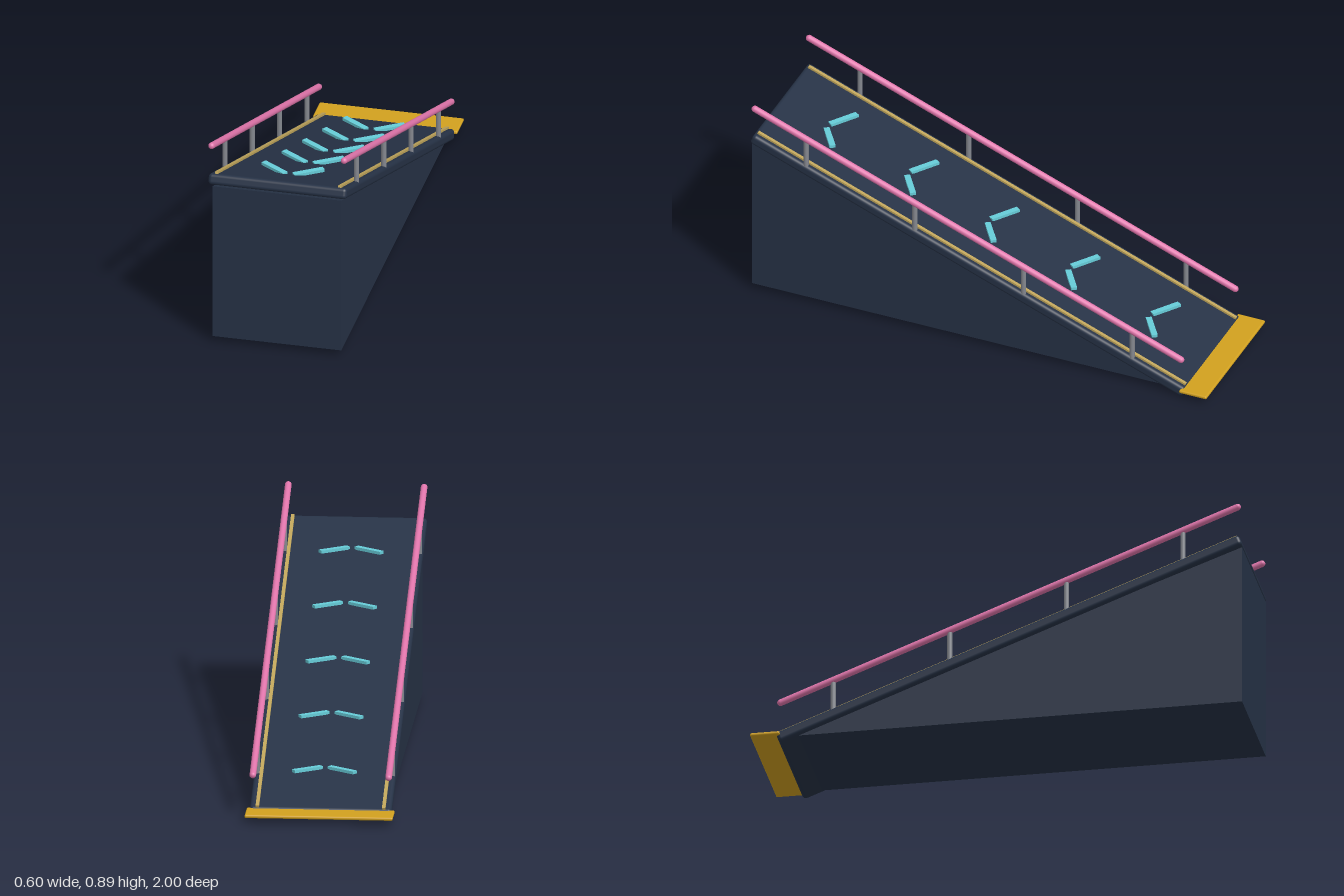
import * as THREE from 'three';
import { RoundedBoxGeometry } from 'three/addons/geometries/RoundedBoxGeometry.js';

const material = (name, color) => {
  const m = new THREE.MeshStandardMaterial({ color });
  m.name = name;
  return m;
};

export function createModel() {
  const model = new THREE.Group();
  model.name = 'ramp';
  const navy = material('navy', 0x263246);
  const pink = material('pink', 0xdf74aa);
  const grey = material('grey', 0x85888f);
  const teal = material('teal', 0x66ccd8);
  const yellow = material('yellow', 0xd2a11f);
  const gold = material('pale gold', 0xbfa45a);

  const add = (name, geometry, mat, x, y, z, parent = model) => {
    const mesh = new THREE.Mesh(geometry, mat);
    mesh.name = name;
    mesh.position.set(x, y, z);
    parent.add(mesh);
    return mesh;
  };

  const slope = 0.381, angle = Math.atan(slope);
  const midY = 0.377, midZ = 0.052;
  const deckY = z => midY + 0.0245 + slope * (z - midZ); // deck surface height
  const railY = z => 0.527 + slope * (z - midZ);         // handrail centre height

  // Tilted deck with edge strips
  const deck = new THREE.Group();
  deck.name = 'deck';
  deck.position.set(0, midY, midZ);
  deck.rotation.x = -angle;
  model.add(deck);
  add('deckSlab', new RoundedBoxGeometry(0.57, 0.046, 2.02, 4, 0.015), navy, 0, 0, 0, deck);
  for (const s of [-1, 1]) {
    add('edgeStrip', new THREE.BoxGeometry(0.014, 0.01, 2), gold, s * 0.254, 0.026, 0, deck);
  }

  // Solid wedge under the deck, side profile drawn in (z, y)
  const profile = new THREE.Shape();
  profile.moveTo(-1, 0.025);
  profile.lineTo(0.88, 0.025);
  profile.lineTo(-1, 0.707);
  profile.closePath();
  const wedge = new THREE.ExtrudeGeometry(profile, { depth: 0.53, bevelEnabled: false });
  wedge.translate(0, 0, -0.265).rotateY(Math.PI / 2);
  add('wedgeBase', wedge, navy, 0, 0, 0);

  // Entry flap at the low end
  add('entryFlap', new RoundedBoxGeometry(0.595, 0.014, 0.12, 3, 0.006), yellow, 0, 0.031, -0.94);

  // Handrails on four upright posts each
  for (const s of [-1, 1]) {
    const rail = add('handrail', new THREE.CapsuleGeometry(0.0135, 1.993, 6, 16), pink,
      s * 0.273, railY(midZ), midZ);
    rail.rotation.x = Math.PI / 2 - angle;
    for (let i = 0; i < 4; i++) {
      const z = 0.76 - i * 0.475;
      const low = deckY(z) - 0.015, high = railY(z);
      add('railPost', new THREE.CylinderGeometry(0.0105, 0.0105, high - low, 12), grey,
        s * 0.271, (low + high) / 2, z);
    }
  }

  // Level chevron bars up the deck
  for (let i = 0; i < 5; i++) {
    const z = -0.663 + i * 0.352;
    for (const s of [-1, 1]) {
      const bar = add('chevronBar', new THREE.BoxGeometry(0.13, 0.012, 0.024), teal,
        s * 0.07, deckY(z) + 0.014, z);
      bar.rotation.y = s * 0.6;
    }
  }
  return model;
}
